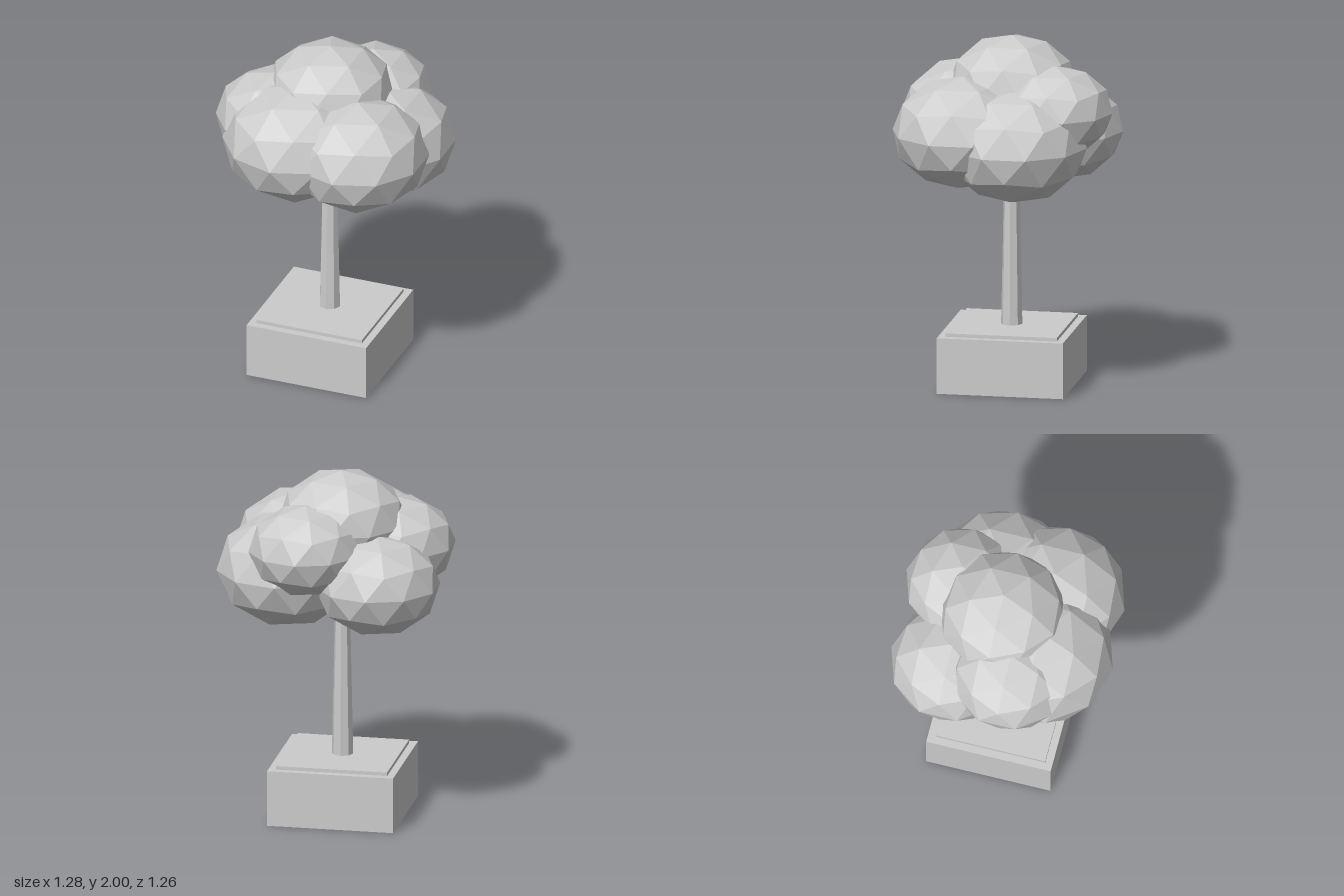
import * as THREE from 'three';

const material = new THREE.MeshStandardMaterial({ color: 0xcccccc, flatShading: true });

export function createModel() {
  const tree = new THREE.Group();
  tree.name = 'pottedTree';

  const add = (name, geometry, x, y, z, parent = tree) => {
    const mesh = new THREE.Mesh(geometry, material);
    mesh.name = name;
    mesh.position.set(x, y, z);
    parent.add(mesh);
    return mesh;
  };

  // Planter box, soil slab and tapered trunk share one axis
  const cx = -0.04, cz = -0.03;
  add('planter', new THREE.BoxGeometry(0.72, 0.32, 0.72), cx, 0.16, cz);
  add('soil', new THREE.BoxGeometry(0.635, 0.04, 0.635), cx, 0.32, cz);
  add('trunk', new THREE.CylinderGeometry(0.036, 0.061, 1.2, 8), cx, 0.93, cz);

  // Faceted sphere turned so a corner points straight up
  const leafBall = new THREE.IcosahedronGeometry(1, 1);
  leafBall.rotateX(-Math.atan((1 + Math.sqrt(5)) / 2));
  leafBall.rotateY(-Math.PI / 2);

  // Foliage clumps: name, centre x, y, z, radius; all slightly flattened
  const foliage = new THREE.Group();
  foliage.name = 'foliage';
  tree.add(foliage);
  const clumps = [
    ['topClump', -0.04, 1.707, -0.033, 0.366],
    ['frontRightClump', -0.145, 1.505, 0.205, 0.42],
    ['frontLeftClump', 0.22, 1.49, 0.2, 0.4],
    ['leftClump', 0.255, 1.433, -0.11, 0.405],
    ['backClump', 0.115, 1.607, -0.31, 0.324],
    ['backRightClump', -0.285, 1.414, -0.265, 0.355],
    ['rightClump', -0.32, 1.56, 0.08, 0.34],
  ];
  for (const [name, x, y, z, r] of clumps) {
    add(name, leafBall, x, y, z, foliage).scale.set(r, r * 0.8, r);
  }

  return tree;
}
